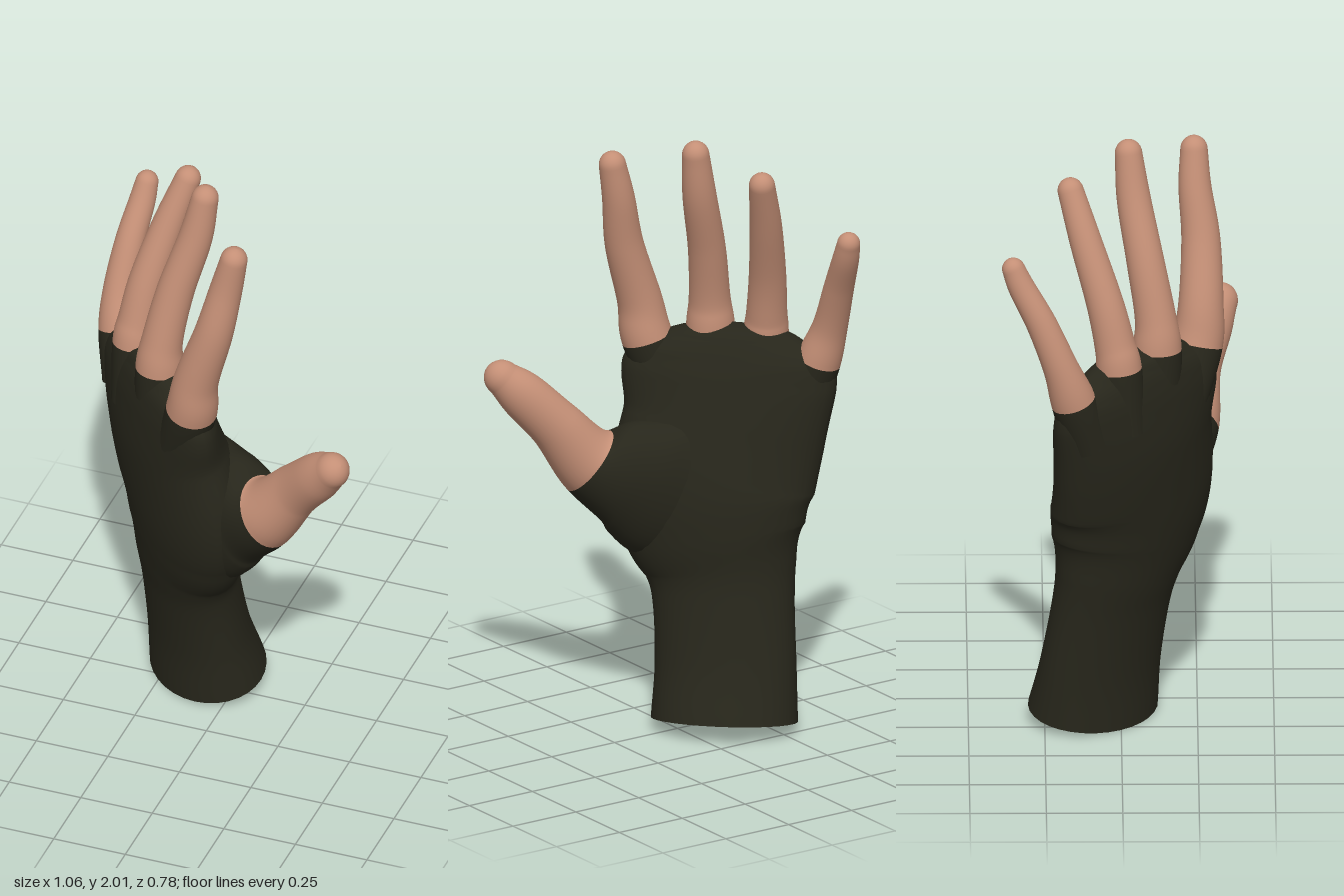
import * as THREE from 'three';

// The glove is open at the wrist, so its inside shows
const glove = new THREE.MeshStandardMaterial({ color: 0x27261b, side: THREE.DoubleSide });
glove.name = 'dark glove';
const skin = new THREE.MeshStandardMaterial({ color: 0xc48f76 });
skin.name = 'skin';

// Direction the palm faces; the hand is turned 45 degrees about y
const PALM = new THREE.Vector3(Math.SQRT1_2, 0, -Math.SQRT1_2);
const SIDES = 32;

// Smooth limb through keys [x, y, z, width radius, depth radius], from key k0 to key k1
function sweep(keys, k0, k1, rows, roundTip = false) {
  const spline = (pts) => new THREE.CatmullRomCurve3(pts, false, 'catmullrom', 0.5);
  const path = spline(keys.map((k) => new THREE.Vector3(k[0], k[1], k[2])));
  const size = spline(keys.map((k) => new THREE.Vector3(k[3], k[4] ?? k[3], 0)));
  const last = keys.length - 1;
  const pos = [], index = [];
  let count = 0;

  const ring = (t, scale = 1, push = 0) => {
    const T = path.getTangent(t);
    const r = size.getPoint(t);
    const B = PALM.clone().addScaledVector(T, -PALM.dot(T)).normalize();
    const A = B.clone().cross(T);
    const c = path.getPoint(t).addScaledVector(T, push * r.x);
    for (let j = 0; j < SIDES; j++) {
      const a = (j / SIDES) * Math.PI * 2;
      const p = c.clone()
        .addScaledVector(A, Math.cos(a) * r.x * scale)
        .addScaledVector(B, Math.sin(a) * r.y * scale);
      pos.push(p.x, p.y, p.z);
    }
    count++;
  };

  const t0 = k0 / last, t1 = k1 / last;
  for (let i = 0; i <= rows; i++) ring(t0 + (t1 - t0) * (i / rows));
  if (roundTip) {
    for (let i = 1; i <= 8; i++) {
      const a = (i / 8) * Math.PI / 2;
      ring(t1, Math.max(Math.cos(a), 1e-4), Math.sin(a) * 1.05);
    }
  }
  for (let i = 0; i < count - 1; i++) {
    for (let j = 0; j < SIDES; j++) {
      const a = i * SIDES + j, b = i * SIDES + ((j + 1) % SIDES);
      index.push(a, b, a + SIDES, b, b + SIDES, a + SIDES);
    }
  }
  const geo = new THREE.BufferGeometry();
  geo.setAttribute('position', new THREE.Float32BufferAttribute(pos, 3));
  geo.setIndex(index);
  geo.computeVertexNormals();
  return geo;
}

function part(name, geo, material) {
  const mesh = new THREE.Mesh(geo, material);
  mesh.name = name;
  return mesh;
}

// Wrist and palm: [height, offset across the hand, offset toward the palm, half width, half depth]
const palmSections = [
  [0.027, -0.152, -0.022, 0.243, 0.182],
  [0.2, -0.15, -0.055, 0.235, 0.156],
  [0.4, -0.138, -0.09, 0.235, 0.147],
  [0.52, -0.125, -0.11, 0.252, 0.152],
  [0.65, -0.1, -0.12, 0.305, 0.166],
  [0.8, -0.09, -0.138, 0.338, 0.17],
  [1.0, -0.125, -0.178, 0.338, 0.152],
  [1.15, -0.135, -0.2, 0.358, 0.126],
  [1.23, -0.137, -0.21, 0.335, 0.105],
  [1.28, -0.138, -0.214, 0.25, 0.085],
  [1.315, -0.138, -0.215, 0.165, 0.06],
  [1.335, -0.138, -0.216, 0.004, 0.002],
];
const palmKeys = palmSections.map(([y, s, t, w, d]) =>
  [(s + t) * Math.SQRT1_2, y, (s - t) * Math.SQRT1_2, w, d]);

// Digits start inside the palm; "cuff" is the key where the glove ends
const digits = {
  indexFinger: { cuff: 1, keys: [
    [-0.11, 1.08, 0.2, 0.08], [-0.052, 1.265, 0.249, 0.085], [-0.03, 1.4, 0.262, 0.074],
    [0.03, 1.6, 0.262, 0.064], [0.066, 1.77, 0.243, 0.054], [0.092, 1.892, 0.24, 0.045]] },
  middleFinger: { cuff: 1, keys: [
    [-0.215, 1.1, 0.115, 0.08], [-0.213, 1.31, 0.118, 0.08], [-0.205, 1.42, 0.112, 0.068],
    [-0.172, 1.6, 0.08, 0.062], [-0.117, 1.8, 0.042, 0.056], [-0.09, 1.952, 0.025, 0.045]] },
  ringFinger: { cuff: 1, keys: [
    [-0.34, 1.08, 0.005, 0.08], [-0.346, 1.295, -0.008, 0.075], [-0.34, 1.38, -0.022, 0.067],
    [-0.32, 1.52, -0.055, 0.061], [-0.272, 1.71, -0.115, 0.053], [-0.222, 1.873, -0.165, 0.043]] },
  littleFinger: { cuff: 1, keys: [
    [-0.42, 1.06, -0.11, 0.075], [-0.453, 1.225, -0.158, 0.074], [-0.469, 1.35, -0.2, 0.058],
    [-0.46, 1.5, -0.262, 0.05], [-0.443, 1.62, -0.326, 0.044], [-0.436, 1.683, -0.353, 0.038]] },
  // The wide first sections form the ball of the thumb and its web
  thumb: { cuff: 3, keys: [
    [-0.13, 0.75, 0.02, 0.23, 0.11], [-0.01, 0.8, 0.105, 0.25, 0.13], [0.09, 0.845, 0.157, 0.2, 0.125],
    [0.2, 0.897, 0.215, 0.122, 0.108], [0.31, 1.03, 0.247, 0.09, 0.08], [0.41, 1.143, 0.295, 0.08, 0.072],
    [0.468, 1.203, 0.328, 0.06, 0.057]] },
};

export function createModel() {
  const hand = new THREE.Group();
  hand.name = 'hand';
  hand.add(part('palmAndWrist', sweep(palmKeys, 0, palmKeys.length - 1, 88), glove));
  for (const [name, { cuff, keys }] of Object.entries(digits)) {
    const digit = new THREE.Group();
    digit.name = name;
    digit.add(part(name + 'Glove', sweep(keys, 0, cuff, 28), glove));
    digit.add(part(name + 'Skin', sweep(keys, cuff, keys.length - 1, 40, true), skin));
    hand.add(digit);
  }
  return hand;
}
